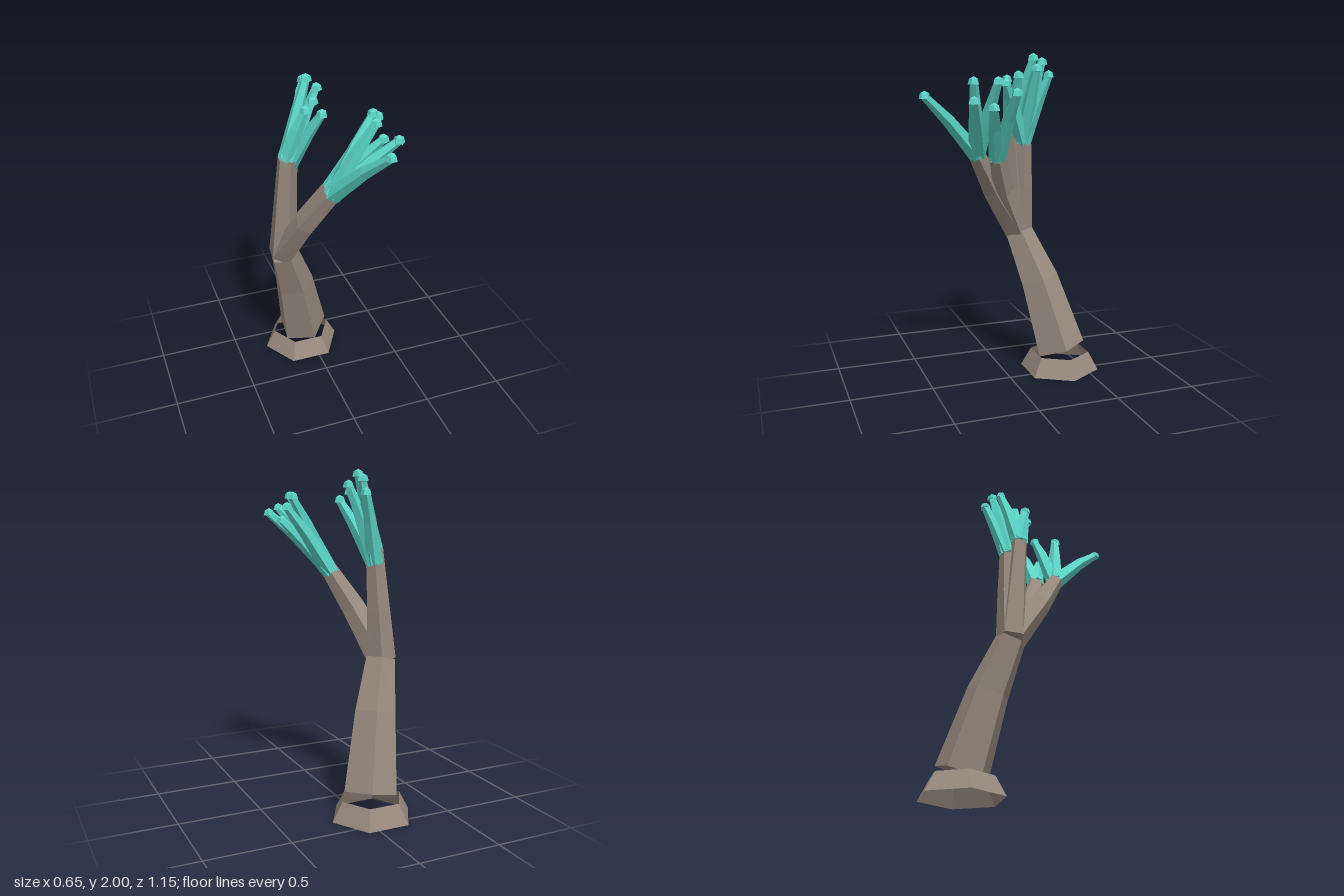
import * as THREE from 'three';

const SIDES = 5;
const UP = new THREE.Vector3(0, 1, 0);

// Closed five-sided limb through stations [x, y, z, radius], rings square to the path
function limbGeometry(stations, turn = 0) {
  const centres = stations.map(([x, y, z]) => new THREE.Vector3(x, y, z));
  const last = centres.length - 1;
  const pos = [];
  const index = [];
  centres.forEach((c, i) => {
    const dir = centres[Math.min(i + 1, last)].clone().sub(centres[Math.max(i - 1, 0)]).normalize();
    const q = new THREE.Quaternion().setFromUnitVectors(UP, dir);
    for (let j = 0; j < SIDES; j++) {
      const a = turn + (j / SIDES) * Math.PI * 2;
      const r = stations[i][3];
      const p = new THREE.Vector3(Math.cos(a) * r, 0, Math.sin(a) * r).applyQuaternion(q).add(c);
      pos.push(p.x, p.y, p.z);
    }
  });
  for (let j = 0; j < SIDES; j++) {
    const k = (j + 1) % SIDES;
    for (let i = 0; i < last; i++) {
      const lo = i * SIDES;
      const hi = lo + SIDES;
      index.push(lo + j, hi + j, lo + k, lo + k, hi + j, hi + k);
    }
  }
  const top = last * SIDES;
  for (let j = 1; j < SIDES - 1; j++) {
    index.push(0, j, j + 1, top, top + j + 1, top + j);
  }
  const g = new THREE.BufferGeometry();
  g.setAttribute('position', new THREE.Float32BufferAttribute(pos, 3));
  g.setIndex(index);
  const flat = g.toNonIndexed();
  flat.computeVertexNormals();
  return flat;
}

export function createModel() {
  const model = new THREE.Group();
  model.name = 'stalkPlant';

  const bark = new THREE.MeshStandardMaterial({
    name: 'greyBrownBark', color: 0x988a7e, flatShading: true, side: THREE.DoubleSide,
  });
  const teal = new THREE.MeshStandardMaterial({
    name: 'tealTendril', color: 0x5cd6c8, flatShading: true, side: THREE.DoubleSide,
  });

  const add = (parent, name, geometry, material) => {
    const mesh = new THREE.Mesh(geometry, material);
    mesh.name = name;
    parent.add(mesh);
    return mesh;
  };

  // Open hexagonal collar around the foot
  const collar = add(model, 'baseCollar',
    new THREE.CylinderGeometry(0.187, 0.25, 0.115, 6, 1, true, Math.PI / 2), bark);
  collar.position.set(-0.06, 0.0575, -0.358);

  // Leaning trunk
  const turn = THREE.MathUtils.degToRad(5);
  add(model, 'trunk', limbGeometry([
    [-0.05, 0.14, -0.355, 0.16],
    [-0.14, 0.585, -0.24, 0.125],
    [-0.23, 0.885, -0.135, 0.09],
  ], turn), bark);

  // Four branches; each carries a fan of tendrils ending at the listed tips
  const root = [-0.235, 0.89, -0.135, 0.09];
  const branches = [
    {
      mid: [-0.225, 1.22, -0.11, 0.068], end: [-0.21, 1.54, -0.085, 0.053],
      tips: [[-0.06, 1.965, -0.165], [-0.115, 1.84, -0.02], [-0.055, 1.865, -0.07]],
    },
    {
      mid: [-0.205, 1.18, -0.145, 0.068], end: [-0.18, 1.46, -0.145, 0.053],
      tips: [[-0.06, 1.865, -0.265], [-0.06, 1.94, -0.22], [0.0, 1.905, -0.165], [-0.03, 1.82, 0.015]],
    },
    {
      mid: [-0.145, 1.18, 0.06, 0.07], end: [-0.035, 1.41, 0.195, 0.053],
      tips: [[0.15, 1.765, 0.545], [0.3, 1.74, 0.31], [0.18, 1.84, 0.275], [0.215, 1.84, 0.145]],
    },
    {
      mid: [-0.115, 1.18, 0.005, 0.07], end: [-0.005, 1.39, 0.08, 0.053],
      tips: [[0.285, 1.78, 0.06], [0.265, 1.7, 0.185]],
    },
  ];

  // Faceted bud with a pointed crown and a flat underside
  const bud = new THREE.LatheGeometry([
    new THREE.Vector2(0, -0.016),
    new THREE.Vector2(0.034, -0.012),
    new THREE.Vector2(0.026, 0.018),
    new THREE.Vector2(0, 0.032),
  ], SIDES);

  branches.forEach(({ mid, end, tips }, b) => {
    const branch = new THREE.Group();
    branch.name = `branch${b + 1}`;
    model.add(branch);
    add(branch, 'branchStem', limbGeometry([root, mid, end], turn), bark);

    tips.forEach((tip, t) => {
      // Tendril bulges slightly upward halfway
      const half = tip.map((v, i) => end[i] + (v - end[i]) * 0.58 + (i === 1 ? 0.015 : 0));
      add(branch, `tendril${t + 1}`, limbGeometry([
        [end[0], end[1], end[2], 0.052],
        [...half, 0.038],
        [...tip, 0.024],
      ], turn + t * 0.5), teal);
      const cap = add(branch, `tendrilBud${t + 1}`, bud, teal);
      cap.position.set(...tip);
      cap.rotation.y = b + t * 0.7;
    });
  });

  return model;
}
